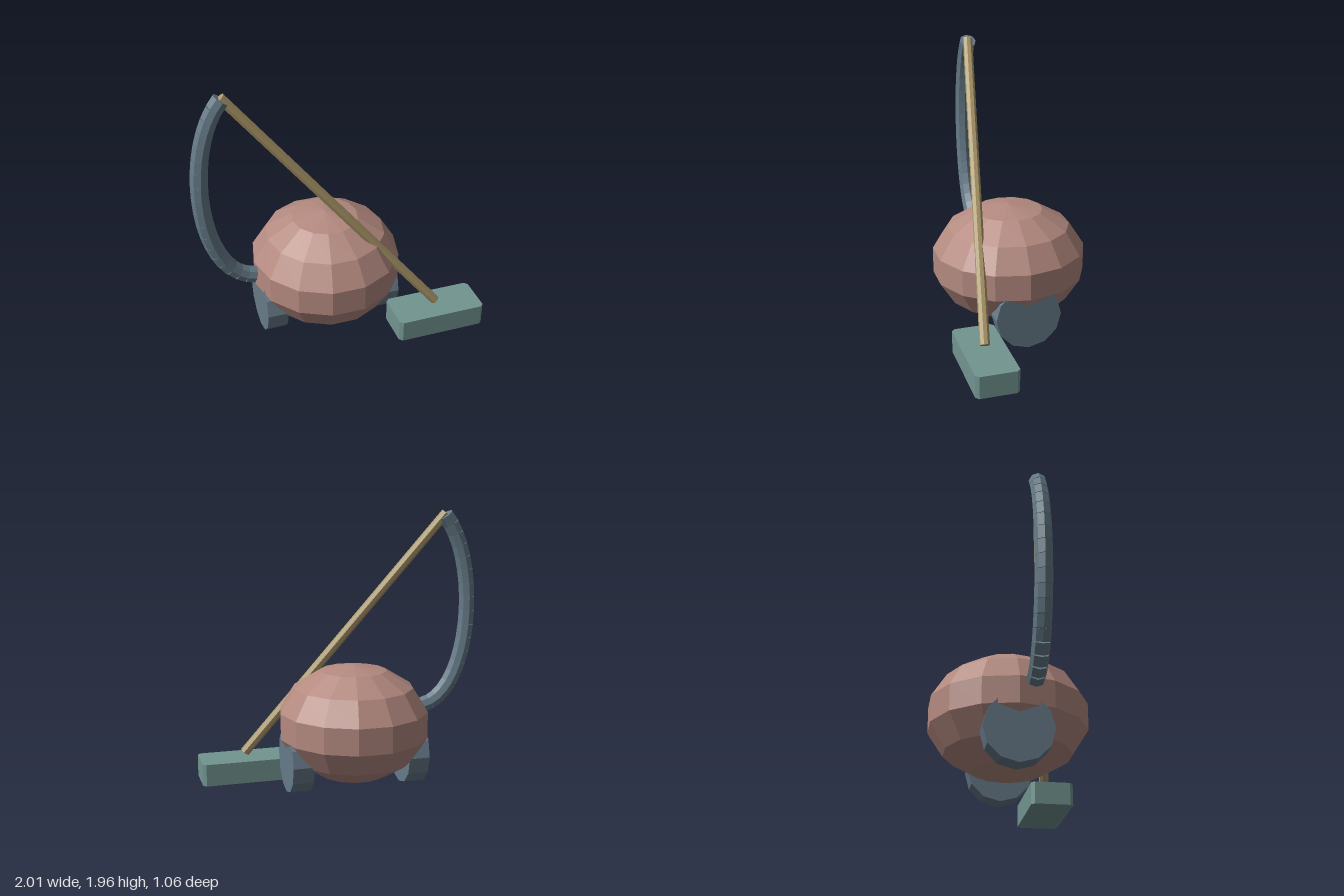
import * as THREE from 'three';

const mat = (color) => new THREE.MeshStandardMaterial({ color, flatShading: true });
const UP = new THREE.Vector3(0, 1, 0);

export function createModel() {
  const model = new THREE.Group();
  model.name = 'vacuumCleaner';
  const rose = mat(0xb48a80), slate = mat(0x667b88), brass = mat(0xac986a), teal = mat(0x729590);

  const add = (name, geometry, material, parent = model) => {
    const mesh = new THREE.Mesh(geometry, material);
    mesh.name = name;
    parent.add(mesh);
    return mesh;
  };

  // Faceted cylinder running from a to b
  const rod = (name, a, b, radius, sides, material, parent) => {
    const dir = b.clone().sub(a);
    const mesh = add(name, new THREE.CylinderGeometry(radius, radius, dir.length(), sides), material, parent);
    mesh.position.copy(a).add(b).multiplyScalar(0.5);
    mesh.quaternion.setFromUnitVectors(UP, dir.normalize());
    return mesh;
  };

  // Round body
  const body = add('body', new THREE.SphereGeometry(1, 14, 7).scale(0.544, 0.42, 0.56), rose);
  body.position.set(-0.05, 0.475, 0);

  // Wheels, one on each side
  for (const side of [-1, 1]) {
    const wheel = add(side > 0 ? 'leftWheel' : 'rightWheel',
      new THREE.CylinderGeometry(0.233, 0.233, 0.15, 12).rotateZ(Math.PI / 2), slate);
    wheel.position.set(-0.053 + side * 0.422, 0.233, 0);
  }

  // Hose: short straight links along a curve, leaving wedge gaps on the outside
  const hose = new THREE.Group();
  hose.name = 'hose';
  model.add(hose);
  const path = new THREE.CubicBezierCurve3(
    new THREE.Vector3(-0.6, 0.535, 0.097), new THREE.Vector3(-1.0, 0.6, 0.097),
    new THREE.Vector3(-1.05, 1.6, 0.097), new THREE.Vector3(-0.765, 1.925, 0.097));
  const points = path.getPoints(18);
  for (let i = 0; i < 18; i++) rod('hoseLink', points[i], points[i + 1], 0.06, 8, slate, hose);

  // Wand from the hose end down to the nozzle
  rod('wand', new THREE.Vector3(-0.77, 1.94, 0.097), new THREE.Vector3(0.67, 0.2, 0.38), 0.035, 8, brass);

  // Floor nozzle: a block with clipped vertical corners
  const w = 0.328, d = 0.15, c = 0.024;
  const outline = new THREE.Shape([
    [-w + c, -d], [w - c, -d], [w, -d + c], [w, d - c],
    [w - c, d], [-w + c, d], [-w, d - c], [-w, -d + c],
  ].map(([x, y]) => new THREE.Vector2(x, y)));
  const nozzle = add('nozzle',
    new THREE.ExtrudeGeometry(outline, { depth: 0.16, bevelEnabled: false }).rotateX(-Math.PI / 2), teal);
  nozzle.position.set(0.672, 0.01, 0.38);

  return model;
}
